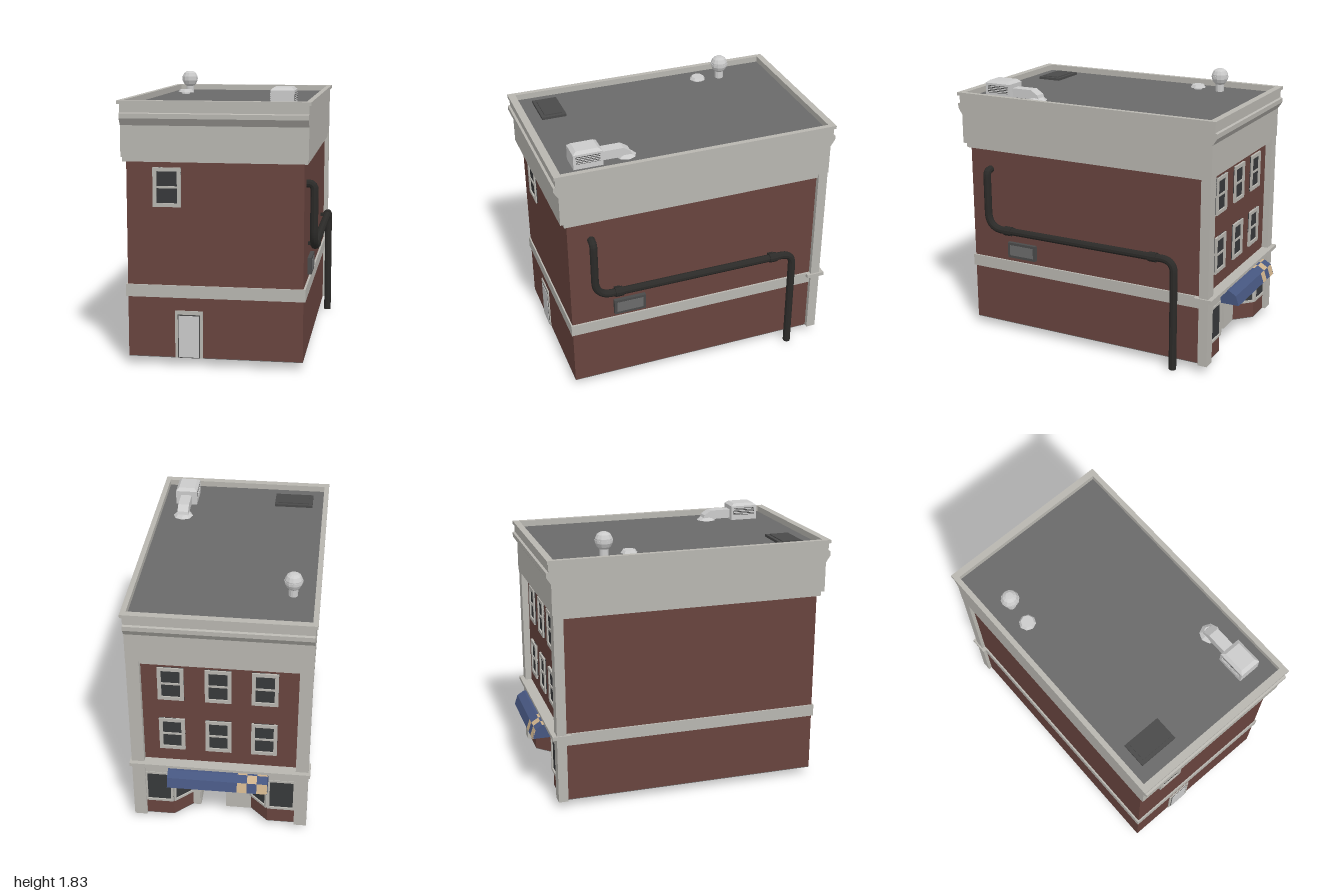
import * as THREE from 'three';

const mat = (color) => new THREE.MeshStandardMaterial({ color, flatShading: true, side: THREE.DoubleSide });
const BRICK = mat(0x68443e), TRIM = mat(0xb8b6b0), GREY = mat(0xcccccc), ROOF = mat(0x6a6a6a);
const DARK = mat(0x4a4a4a), GLASS = mat(0x37393b), PIPE = mat(0x2b2a28), BLUE = mat(0x465680), TAN = mat(0xccb08a);

export function createModel() {
  const model = new THREE.Group();

  const add = (name, geo, m, parent = model) => {
    const mesh = new THREE.Mesh(geo, m);
    mesh.name = name;
    parent.add(mesh);
    return mesh;
  };
  // Box given by its limits on each axis
  const box = (name, x0, x1, y0, y1, z0, z1, m, parent) => {
    const g = new THREE.BoxGeometry(x1 - x0, y1 - y0, z1 - z0);
    g.translate((x0 + x1) / 2, (y0 + y1) / 2, (z0 + z1) / 2);
    return add(name, g, m, parent);
  };
  const shapeOf = (pts) => new THREE.Shape(pts.map((p) => new THREE.Vector2(p[0], p[1])));
  // (z, y) profile swept along x
  const sweepX = (name, pts, x0, x1, m, parent) => {
    const g = new THREE.ExtrudeGeometry(shapeOf(pts), { depth: x1 - x0, bevelEnabled: false });
    g.rotateY(-Math.PI / 2).translate(x1, 0, 0);
    return add(name, g, m, parent);
  };
  // (x, z) footprint raised along y
  const raise = (name, pts, y0, y1, m) => {
    const g = new THREE.ExtrudeGeometry(shapeOf(pts.map(([x, z]) => [x, -z])), { depth: y1 - y0, bevelEnabled: false });
    g.rotateX(-Math.PI / 2).translate(0, y0, 0);
    return add(name, g, m);
  };
  const cyl = (name, rt, rb, y0, y1, x, z, n, m) => {
    const g = new THREE.CylinderGeometry(rt, rb, y1 - y0, n);
    g.translate(x, (y0 + y1) / 2, z);
    return add(name, g, m);
  };

  // Brick body, with the shop entrance cut into the ground floor
  const footprint = [[-0.585, 0.925], [0.54, 0.925], [0.54, -0.86], [0.3, -0.86], [0.18, -0.745], [0.13, -0.745],
    [0.13, -0.42], [-0.05, -0.42], [-0.05, -0.745], [-0.22, -0.745], [-0.34, -0.86], [-0.585, -0.86]];
  raise('groundFloor', footprint, 0.057, 0.44, BRICK);
  raise('basePlate', footprint, 0.053, 0.057, ROOF);
  box('upperFloors', -0.585, 0.54, 0.44, 1.64, -0.84, 0.925, BRICK);
  box('entranceCeiling', -0.56, 0.52, 0.425, 0.44, -0.86, -0.4, ROOF);

  // Corner pilasters, string course and shop ledge
  box('pilaster', -0.61, -0.525, 0.055, 1.36, -0.885, -0.82, TRIM);
  box('pilaster', 0.485, 0.57, 0.055, 1.36, -0.885, -0.82, TRIM);
  box('stringCourse', -0.597, 0.553, 0.45, 0.53, -0.825, 0.935, TRIM);
  box('shopSignBand', -0.53, 0.49, 0.43, 0.51, -0.87, -0.8, TRIM);
  box('shopLedge', -0.622, 0.582, 0.505, 0.53, -0.915, -0.79, TRIM);

  // Cornice: moulded at front and back, plain on the sides
  box('corniceBand', -0.607, 0.563, 1.32, 1.352, -0.87, 0.945, TRIM);
  const moulding = (wall, dir, inner) => [[inner, 1.35], [wall, 1.35], [wall, 1.55], [wall + dir * 0.03, 1.595],
    [wall + dir * 0.03, 1.625], [wall + dir * 0.015, 1.63], [wall + dir * 0.015, 1.685], [inner, 1.685]];
  sweepX('frontCornice', moulding(0.97, 1, 0.945), -0.61, 0.57, TRIM);
  sweepX('backCornice', moulding(-0.89, -1, -0.87), -0.61, 0.57, TRIM);
  box('sideCornice', -0.61, -0.59, 1.35, 1.685, -0.87, 0.945, TRIM);
  box('sideCornice', 0.55, 0.57, 1.35, 1.685, -0.87, 0.945, TRIM);
  box('corniceSoffit', -0.6, 0.56, 1.35, 1.36, -0.88, 0.96, TRIM);
  box('coping', -0.624, 0.584, 1.683, 1.705, 0.945, 0.995, TRIM);
  box('coping', -0.624, 0.584, 1.683, 1.705, -0.915, -0.87, TRIM);
  box('coping', -0.624, -0.59, 1.683, 1.705, -0.87, 0.945, TRIM);
  box('coping', 0.55, 0.584, 1.683, 1.705, -0.87, 0.945, TRIM);
  box('roof', -0.595, 0.555, 1.63, 1.665, -0.875, 0.95, ROOF);

  // Sash windows, built facing +z
  const framed = (name, w, h, parent, bar = 0.024, rail = false) => {
    const g = new THREE.Group();
    g.name = name;
    box('glass', -w / 2, w / 2, -h / 2, h / 2, -0.006, 0.002, GLASS, g);
    for (const s of [-1, 1]) {
      const sx = s * (w - bar) / 2, sy = s * (h - bar) / 2;
      box('jamb', sx - bar / 2, sx + bar / 2, -h / 2, h / 2, -0.005, 0.012, TRIM, g);
      box('rail', -w / 2, w / 2, sy - bar / 2, sy + bar / 2, -0.005, 0.012, TRIM, g);
    }
    if (rail) box('meetingRail', -w / 2, w / 2, -0.007, 0.007, -0.005, 0.008, TRIM, g);
    parent.add(g);
    return g;
  };
  framed('frontWindow', 0.18, 0.25, model, 0.024, true).position.set(-0.325, 1.16, 0.927);
  for (const x of [0.295, -0.01, -0.31]) for (const y of [0.755, 1.16]) {
    const w = framed('backWindow', 0.17, 0.25, model, 0.024, true);
    w.position.set(x, y, -0.843);
    w.rotation.y = Math.PI;
  }

  // Service door
  box('doorFrame', -0.28, -0.1, 0.055, 0.365, 0.92, 0.932, TRIM);
  box('doorGap', -0.262, -0.118, 0.055, 0.34, 0.92, 0.933, DARK);
  box('door', -0.256, -0.124, 0.06, 0.333, 0.92, 0.936, GREY);

  // Shop windows and panels along the plan of the shop front
  const along = (obj, a, b, y) => {
    obj.position.set((a[0] + b[0]) / 2, y, (a[1] + b[1]) / 2);
    obj.rotation.y = Math.atan2(-(b[1] - a[1]), b[0] - a[0]);
  };
  const pane = (a, b, y0, y1) =>
    along(framed('shopWindow', Math.hypot(b[0] - a[0], b[1] - a[1]), y1 - y0, model, 0.016), a, b, (y0 + y1) / 2);
  const panel = (a, b, y0, y1) => {
    const g = new THREE.BoxGeometry(Math.hypot(b[0] - a[0], b[1] - a[1]), y1 - y0, 0.008);
    along(add('entrancePanel', g, TRIM), a, b, (y0 + y1) / 2);
  };
  const glazed = [[[0.49, -0.862], [0.3, -0.862]], [[0.3, -0.862], [0.18, -0.747]],
    [[-0.22, -0.747], [-0.34, -0.862]], [[-0.34, -0.862], [-0.53, -0.862]]];
  for (const [a, b] of glazed) pane(a, b, 0.175, 0.43);
  const walls = [[[0.18, -0.747], [0.13, -0.747]], [[0.13, -0.745], [0.13, -0.42]],
    [[0.13, -0.42], [-0.05, -0.42]], [[-0.05, -0.42], [-0.05, -0.745]], [[-0.05, -0.747], [-0.22, -0.747]]];
  for (const [a, b] of walls) panel(a, b, 0.055, 0.425);
  pane([-0.05, -0.752], [-0.22, -0.752], 0.29, 0.42);
  pane([0.13, -0.75], [-0.05, -0.75], 0.345, 0.42);

  // Awning: three bent strips with a chequered end
  const awning = new THREE.Group();
  awning.name = 'awning';
  model.add(awning);
  const prof = [[-0.87, 0.512], [-0.93, 0.51], [-0.978, 0.48], [-1, 0.415]];
  const cols = [-0.345, -0.275, -0.21, -0.145, 0.32];
  for (let c = 0; c < 4; c++) for (let r = 0; r < 3; r++) {
    const [p, q] = [prof[r], prof[r + 1]];
    const tan = c < 3 && (c + r) % 2 === 0;
    sweepX('awningCloth', [p, q, [q[0] + 0.006, q[1] - 0.002], [p[0] + 0.003, p[1] - 0.006]],
      cols[c], cols[c + 1], tan ? TAN : BLUE, awning);
  }
  for (const x of [-0.345, 0.316]) sweepX('awningEnd', [...prof, [-0.87, 0.415]], x, x + 0.004, BLUE, awning);

  // Drainpipe on the side wall
  const path = new THREE.CurvePath();
  const v = (x, y, z) => new THREE.Vector3(x, y, z);
  const X = 0.59;
  const corners = [v(0.53, 1.18, 0.77), v(X, 1.18, 0.77), v(X, 0.765, 0.77), v(X, 0.765, -0.65), v(X, 0.005, -0.65)];
  const radii = [0, 0.04, 0.12, 0.09, 0];
  let from = corners[0];
  for (let i = 1; i < 4; i++) {
    const inDir = corners[i - 1].clone().sub(corners[i]).normalize();
    const outDir = corners[i + 1].clone().sub(corners[i]).normalize();
    const a = corners[i].clone().addScaledVector(inDir, radii[i]);
    const b = corners[i].clone().addScaledVector(outDir, radii[i]);
    path.add(new THREE.LineCurve3(from, a));
    path.add(new THREE.QuadraticBezierCurve3(a, corners[i], b));
    from = b;
  }
  path.add(new THREE.LineCurve3(from, corners[4]));
  add('drainpipe', new THREE.TubeGeometry(path, 180, 0.026, 10), PIPE);
  for (const z of [0.61, -0.5]) {
    add('pipeCollar', new THREE.CylinderGeometry(0.033, 0.033, 0.055, 10).rotateX(Math.PI / 2).translate(X, 0.765, z), PIPE);
    box('pipeBracket', 0.53, X, 0.755, 0.775, z - 0.02, z + 0.02, PIPE);
  }
  cyl('pipeFoot', 0.026, 0.026, 0, 0.01, X, -0.65, 10, PIPE);

  // Wall vent
  box('wallVentFrame', 0.53, 0.566, 0.562, 0.672, 0.415, 0.635, DARK);
  box('wallVent', 0.53, 0.568, 0.58, 0.654, 0.433, 0.617, ROOF);

  // Roof turbine vent and small cap
  const ball = [[0.03, 1.66], [0.03, 1.715], [0.045, 1.73], [0.057, 1.755], [0.057, 1.785], [0.045, 1.81], [0.025, 1.823], [0, 1.825]];
  add('turbineVent', new THREE.LatheGeometry(ball.map((p) => new THREE.Vector2(...p)), 12), GREY).position.set(-0.45, 0, -0.51);
  cyl('turbineRing', 0.06, 0.06, 1.765, 1.775, -0.45, -0.51, 12, GREY);
  cyl('ventStem', 0.03, 0.03, 1.66, 1.68, -0.45, -0.345, 8, GREY);
  cyl('ventCap', 0.042, 0.056, 1.678, 1.698, -0.45, -0.345, 8, GREY);

  // Roof hatch
  box('hatchFrame', -0.515, -0.245, 1.66, 1.682, 0.68, 0.848, DARK);
  box('hatchLid', -0.49, -0.27, 1.66, 1.688, 0.703, 0.825, DARK);

  // Air unit with a chamfered top, side louvres and a duct
  box('airUnit', 0.315, 0.465, 1.66, 1.765, 0.645, 0.838, GREY);
  const lid = new THREE.CylinderGeometry(0.75, 1, 1, 4, 1).rotateY(Math.PI / 4).scale(0.075 * Math.SQRT2, 0.018, 0.0965 * Math.SQRT2);
  add('airUnitTop', lid.translate(0.39, 1.774, 0.7415), GREY);
  for (const x of [0.3145, 0.4655]) {
    box('louvreRecess', x - 0.001, x + 0.001, 1.7, 1.75, 0.663, 0.82, DARK);
    for (let i = 0; i < 4; i++) box('louvre', x - 0.003, x + 0.003, 1.704 + i * 0.012, 1.71 + i * 0.012, 0.663, 0.82, GREY);
  }
  sweepX('duct', [[0.645, 1.675], [0.645, 1.737], [0.5, 1.737], [0.45, 1.705], [0.435, 1.66], [0.52, 1.66], [0.54, 1.675]], 0.352, 0.428, GREY);
  cyl('ductFlange', 0.045, 0.075, 1.66, 1.685, 0.39, 0.475, 8, GREY);

  return model;
}
